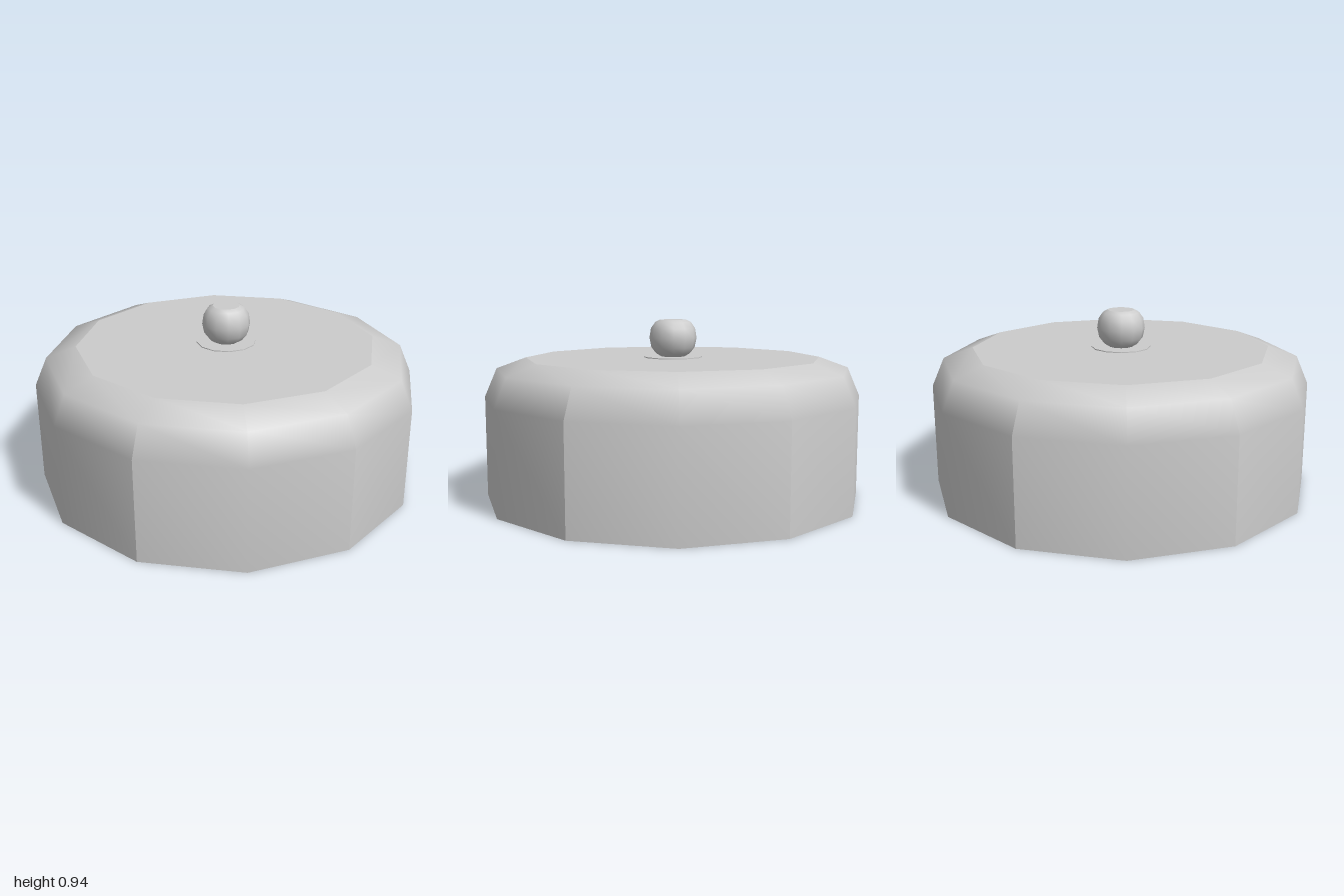
import * as THREE from 'three';

const SIDES = 12;
const STEP = (Math.PI * 2) / SIDES;
const material = new THREE.MeshStandardMaterial({ color: 0xcccccc });
const points = (list) => list.map(([r, y]) => new THREE.Vector2(r, y));

function add(group, name, geometry, y = 0) {
  const mesh = new THREE.Mesh(geometry, material);
  mesh.name = name;
  mesh.position.y = y;
  group.add(mesh);
}

// Flat twelve-sided disc facing up or down
function disc(radius, up) {
  return new THREE.CircleGeometry(radius, SIDES).rotateX(up ? -Math.PI / 2 : Math.PI / 2);
}

// Two neighbouring wall panels; below the shoulder their outer edges are creased
function wallPair(profile, start) {
  const geometry = new THREE.LatheGeometry(points(profile), 2, start, 2 * STEP);
  const { position, normal } = geometry.attributes;
  const up = new THREE.Vector3(0, 1, 0);
  const n = new THREE.Vector3();
  for (let i = 0; i < position.count; i++) {
    const column = Math.floor(i / profile.length);
    if (position.getY(i) > 0.6 || column === 1) continue;
    n.fromBufferAttribute(normal, i).applyAxisAngle(up, column === 0 ? STEP / 2 : -STEP / 2);
    normal.setXYZ(i, n.x, n.y, n.z);
  }
  return geometry;
}

function wall(name, profile) {
  const group = new THREE.Group();
  group.name = name;
  for (let i = 0; i < SIDES; i += 2) add(group, name + 'Panels', wallPair(profile, i * STEP));
  return group;
}

export function createModel() {
  const model = new THREE.Group();
  model.name = 'domedLid';

  // Hollow cover with a bevelled shoulder
  const outer = [[1, 0], [1, 0.535], [0.935, 0.685], [0.78, 0.742]];
  const inner = [[0.755, 0.725], [0.9, 0.665], [0.955, 0.525], [0.955, 0]];
  model.add(wall('outerWall', outer));
  model.add(wall('innerWall', inner));
  add(model, 'topPlate', disc(0.78, true), 0.742);
  add(model, 'ceiling', disc(0.755, false), 0.725);
  add(model, 'bottomRim', new THREE.RingGeometry(0.955, 1, SIDES).rotateX(Math.PI / 2));

  // Round knob with a flattened top on a thin base
  const knob = [
    [0.06, 0.745], [0.09, 0.763], [0.115, 0.795], [0.125, 0.845],
    [0.117, 0.895], [0.095, 0.927], [0.07, 0.94],
  ];
  add(model, 'knobBase', new THREE.CylinderGeometry(0.155, 0.155, 0.005, SIDES), 0.7445);
  add(model, 'knob', new THREE.LatheGeometry(points(knob), SIDES));
  add(model, 'knobTop', disc(0.07, true), 0.94);

  return model;
}
